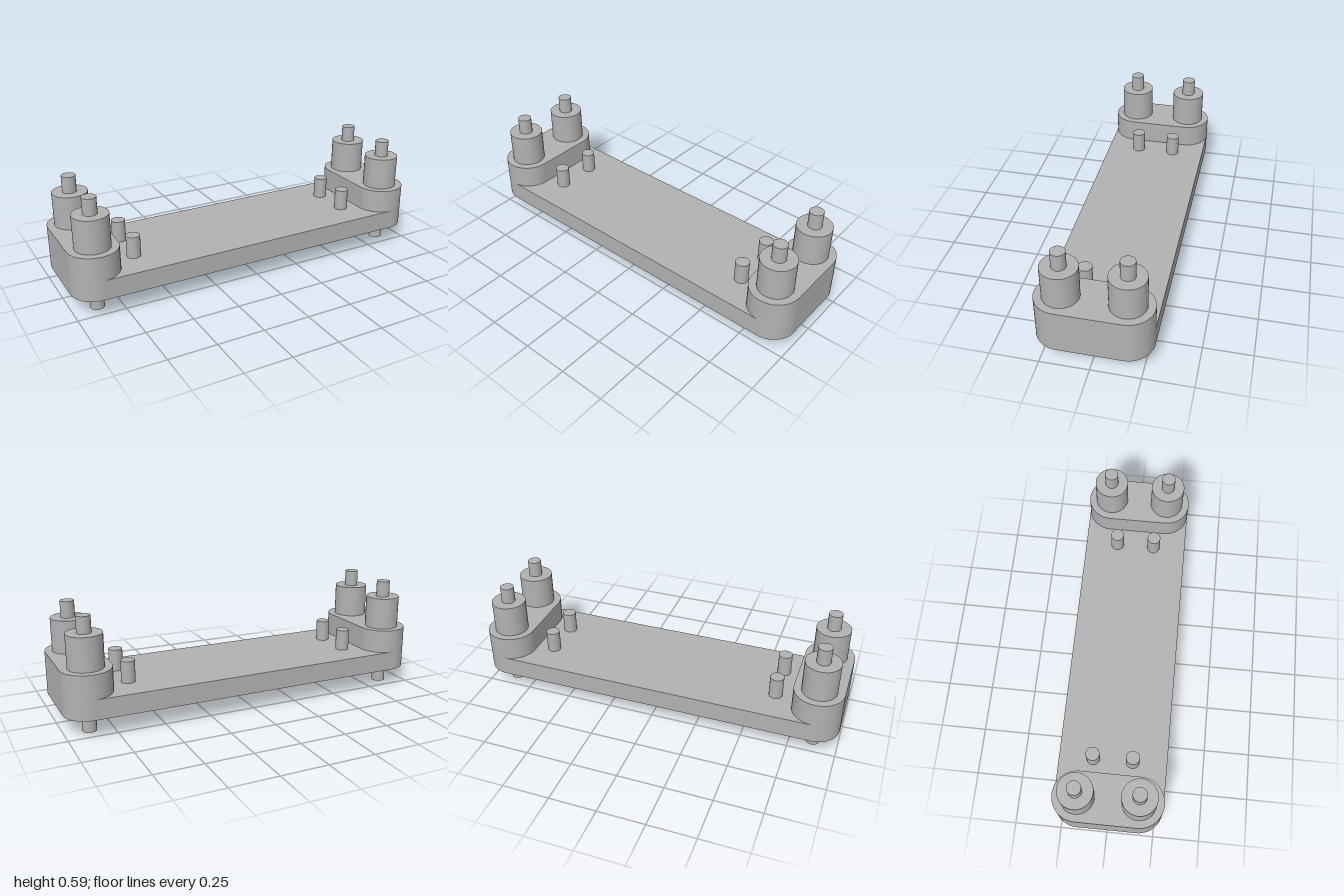
import * as THREE from 'three';

const grey = new THREE.MeshStandardMaterial({ color: 0xb2b2b2 });
grey.name = 'plain grey';

// Upright cylinder between two heights
function post(name, radius, y0, y1, x, z) {
  const mesh = new THREE.Mesh(new THREE.CylinderGeometry(radius, radius, y1 - y0, 48), grey);
  mesh.name = name;
  mesh.position.set(x, (y0 + y1) / 2, z);
  return mesh;
}

// Upright block with fully rounded ends along z
function endBlock(x) {
  const r = 0.13, h = 0.16;
  const shape = new THREE.Shape();
  shape.moveTo(r, -h);
  shape.lineTo(r, h);
  shape.absarc(0, h, r, 0, Math.PI, false);
  shape.lineTo(-r, -h);
  shape.absarc(0, -h, r, Math.PI, Math.PI * 2, false);
  const geo = new THREE.ExtrudeGeometry(shape, { depth: 0.232, bevelEnabled: false, curveSegments: 24 });
  geo.rotateX(-Math.PI / 2);
  const mesh = new THREE.Mesh(geo, grey);
  mesh.name = 'endBlock';
  mesh.position.set(x, 0.1, 0);
  return mesh;
}

export function createModel() {
  const model = new THREE.Group();
  model.name = 'linkPlate';

  // Flat plate joining the two end blocks
  const plate = new THREE.Mesh(new THREE.BoxGeometry(1.74, 0.105, 0.58), grey);
  plate.name = 'plate';
  plate.position.y = 0.1525;
  model.add(plate);

  for (const sx of [-1, 1]) {
    model.add(endBlock(sx * 0.87));
    for (const sz of [-1, 1]) {
      const x = sx * 0.87, z = sz * 0.16;
      model.add(
        post('roller', 0.0915, 0.098, 0.507, x, z),
        post('axlePin', 0.0365, 0, 0.594, x, z),
        post('peg', 0.0365, 0.18, 0.32, sx * 0.643, sz * 0.106),
      );
    }
  }
  return model;
}
